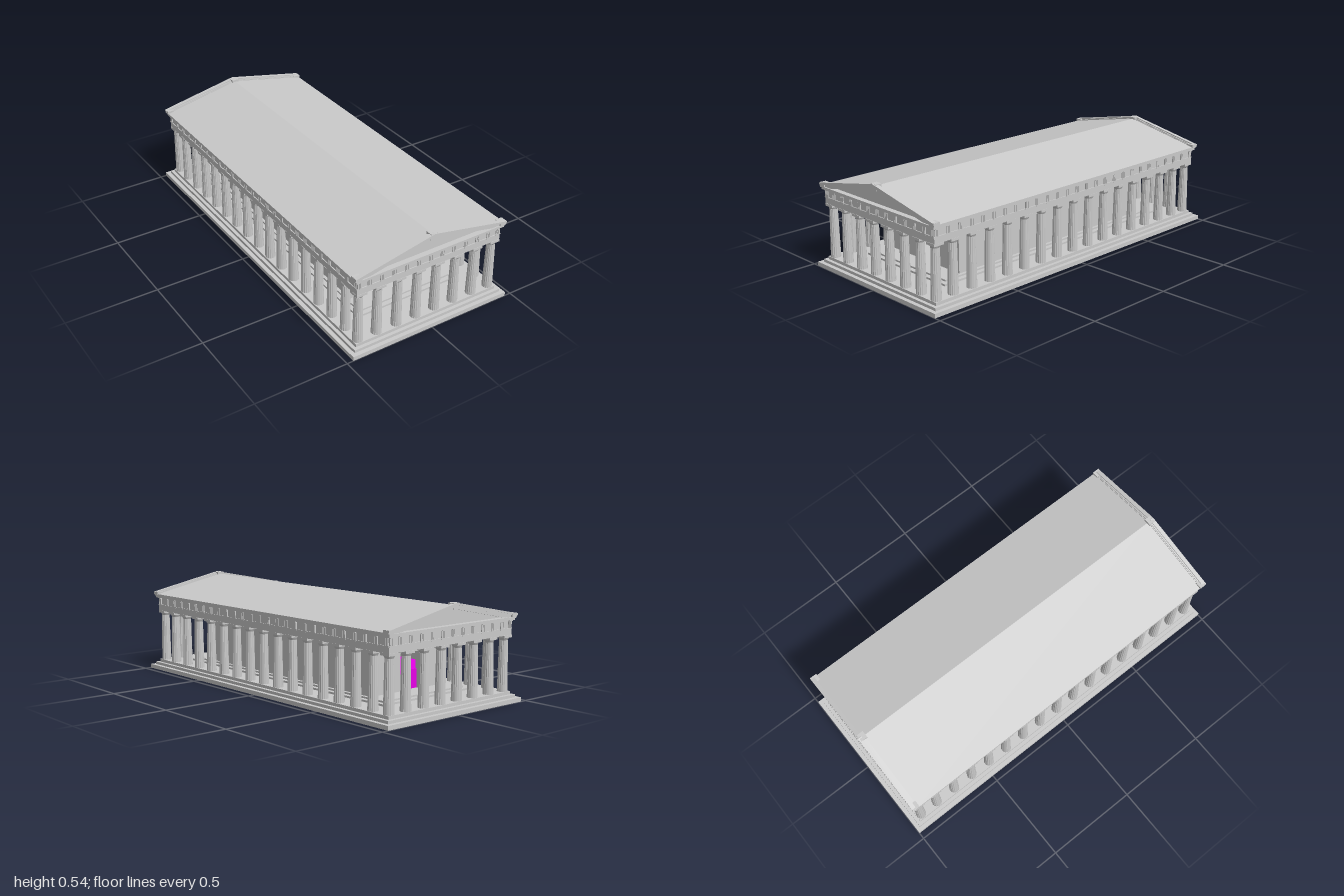
import * as THREE from 'three';
import { mergeGeometries } from 'three/addons/utils/BufferGeometryUtils.js';

const stone = new THREE.MeshStandardMaterial({ color: 0xcacaca, flatShading: true });
stone.name = 'stone grey';
const magenta = new THREE.MeshStandardMaterial({ color: 0xff00ff, flatShading: true });
magenta.name = 'chamber magenta';

// Box geometry between two corners
function span(x0, x1, y0, y1, z0, z1) {
  return new THREE.BoxGeometry(x1 - x0, y1 - y0, z1 - z0)
    .translate((x0 + x1) / 2, (y0 + y1) / 2, (z0 + z1) / 2);
}
const slab = (x, y0, y1, z) => span(-x, x, y0, y1, -z, z);

// Rectangular frame with an open middle
function ring(x, z, inX, inZ, y0, y1) {
  return mergeGeometries([
    span(-x, x, y0, y1, inZ, z), span(-x, x, y0, y1, -z, -inZ),
    span(inX, x, y0, y1, -inZ, inZ), span(-x, -inX, y0, y1, -inZ, inZ),
  ]);
}

// Flat outline pushed along z
function prism(points, z0, z1) {
  const shape = new THREE.Shape(points.map(([x, y]) => new THREE.Vector2(x, y)));
  return new THREE.ExtrudeGeometry(shape, { depth: z1 - z0, bevelEnabled: false }).translate(0, 0, z0);
}

// Fluted shaft, flaring capital and square top
function columnGeometry() {
  const shaft = new THREE.CylinderGeometry(0.022, 0.027, 0.262, 32, 1, true).toNonIndexed();
  const p = shaft.attributes.position;
  for (let i = 0; i < p.count; i++) {
    const step = Math.round(Math.atan2(p.getZ(i), p.getX(i)) / (Math.PI / 16));
    const k = step % 2 ? 0.94 : 1;
    p.setX(i, p.getX(i) * k);
    p.setZ(i, p.getZ(i) * k);
  }
  shaft.translate(0, 0.184, 0);
  const echinus = new THREE.CylinderGeometry(0.028, 0.021, 0.014, 24).toNonIndexed().translate(0, 0.322, 0);
  const abacus = span(-0.029, 0.029, 0.328, 0.341, -0.029, 0.029).toNonIndexed();
  const g = mergeGeometries([shaft, echinus, abacus]);
  g.computeVertexNormals();
  return g;
}

export function createModel() {
  const group = new THREE.Group();
  const add = (name, geometry, material = stone, parent = group) => {
    const mesh = new THREE.Mesh(geometry, material);
    mesh.name = name;
    parent.add(mesh);
    return mesh;
  };

  // Stepped base, hollow underneath
  add('lowerStep', ring(0.465, 1.0, 0.44, 0.975, 0, 0.022));
  add('middleStep', ring(0.443, 0.978, 0.422, 0.957, 0.018, 0.037));
  add('upperStep', ring(0.425, 0.96, 0.41, 0.945, 0.034, 0.053));
  add('outerFloor', ring(0.412, 0.947, 0.3, 0.795, 0.048, 0.053));
  add('innerPlatform', slab(0.304, 0.053, 0.063, 0.8));
  add('innerFloor', slab(0.28, 0.063, 0.072, 0.775));

  // Outer colonnade
  const xs = [-0.397, -0.289, -0.172, -0.057, 0.057, 0.172, 0.289, 0.397];
  const colonnade = new THREE.Group();
  colonnade.name = 'colonnade';
  group.add(colonnade);
  const column = columnGeometry();
  for (const s of [-1, 1]) {
    for (const x of xs) add('endColumn', column, stone, colonnade).position.set(x, 0, s * 0.933);
    for (let i = -7; i <= 7; i++) {
      add('sideColumn', column, stone, colonnade).position.set(s * 0.397, 0, i * 0.1183);
    }
  }

  // Inner hall walls with a doorway at each end
  const hall = new THREE.Group();
  hall.name = 'hall';
  group.add(hall);
  for (const s of [-1, 1]) {
    const sideX = s > 0 ? 0.24 : -0.264;
    add('sideWall', span(sideX, sideX + 0.024, 0.072, 0.405, -0.672, 0.672), stone, hall);
    const z = s * 0.66;
    for (const doorX of [-0.24, 0.065]) {
      add('endWall', span(doorX, doorX + 0.175, 0.072, 0.405, z - 0.012, z + 0.012), stone, hall);
    }
    add('wallOverDoor', span(-0.065, 0.065, 0.265, 0.405, z - 0.012, z + 0.012), stone, hall);
    add('doorLintel', span(-0.092, 0.092, 0.265, 0.3, s * 0.674 - 0.006, s * 0.674 + 0.006), stone, hall);
  }
  add('dividingWall', span(-0.24, 0.24, 0.16, 0.405, 0.19, 0.21), stone, hall);
  add('chamberBlock', span(-0.255, 0.255, 0.03, 0.17, -0.655, 0.222), magenta, hall);

  // Beams, frieze and ceiling
  add('architrave', ring(0.425, 0.96, 0.368, 0.903, 0.34, 0.372));
  add('bandMoulding', ring(0.427, 0.962, 0.37, 0.905, 0.372, 0.376));
  add('frieze', ring(0.422, 0.957, 0.37, 0.905, 0.376, 0.416));
  add('ceiling', slab(0.371, 0.402, 0.416, 0.906));

  // Triple grooved blocks and the small blocks under the cornice
  const bars = [];
  const eaveBlocks = [];
  const block = (along, onEnd, s) => {
    const outer = (onEnd ? 0.957 : 0.422) * s;
    const put = (list, w, y0, y1, d, shift = 0) => {
      const g = new THREE.BoxGeometry(onEnd ? w : d, y1 - y0, onEnd ? d : w);
      const a = along + shift;
      list.push(g.translate(onEnd ? a : outer, (y0 + y1) / 2, onEnd ? outer : a));
    };
    for (const k of [-1, 0, 1]) put(bars, 0.006, 0.376, 0.411, 0.01, k * 0.0085);
    put(bars, 0.023, 0.369, 0.372, 0.01);
    put(eaveBlocks, 0.023, 0.412, 0.417, 0.022);
  };
  for (const s of [-1, 1]) {
    for (let i = -6; i <= 6; i++) block(Math.abs(i) === 6 ? Math.sign(i) * 0.411 : i * 0.0705, true, s);
    for (let i = -13; i <= 13; i++) block(i * 0.0727, false, s);
  }
  add('friezeBlocks', mergeGeometries(bars));
  add('eaveBlocks', mergeGeometries(eaveBlocks));

  // Cornice and pitched roof
  add('cornice', slab(0.436, 0.416, 0.427, 0.972));
  add('corniceLip', slab(0.441, 0.427, 0.433, 0.977));
  add('roof', prism([[-0.442, 0.432], [0.442, 0.432], [0.442, 0.437], [0, 0.527], [-0.442, 0.437]], -0.948, 0.948));

  // Gable mouldings and ornament blocks at both ends
  const raking = (x, low, high, peak, inX, inPeak) => [
    [-x, low], [-inX, low], [0, inPeak], [inX, low], [x, low], [x, high], [0, peak], [-x, high],
  ];
  for (const s of [-1, 1]) {
    const gable = new THREE.Group();
    gable.name = s > 0 ? 'frontGable' : 'backGable';
    gable.rotation.y = s > 0 ? 0 : Math.PI;
    group.add(gable);
    add('rakingCornice', prism(raking(0.438, 0.432, 0.441, 0.53, 0.365, 0.508), 0.945, 0.97), stone, gable);
    add('rakingFillet', prism(raking(0.442, 0.437, 0.444, 0.534, 0.44, 0.519), 0.95, 0.975), stone, gable);
    add('rakingLip', prism(raking(0.446, 0.441, 0.449, 0.539, 0.444, 0.529), 0.958, 0.98), stone, gable);
    add('ridgeBlock', span(-0.02, 0.02, 0.505, 0.538, 0.938, 0.974), stone, gable);
    for (const k of [-1, 1]) {
      add('cornerBlock', span(k * 0.426 - 0.019, k * 0.426 + 0.019, 0.433, 0.451, 0.94, 0.977), stone, gable);
    }
  }
  return group;
}
